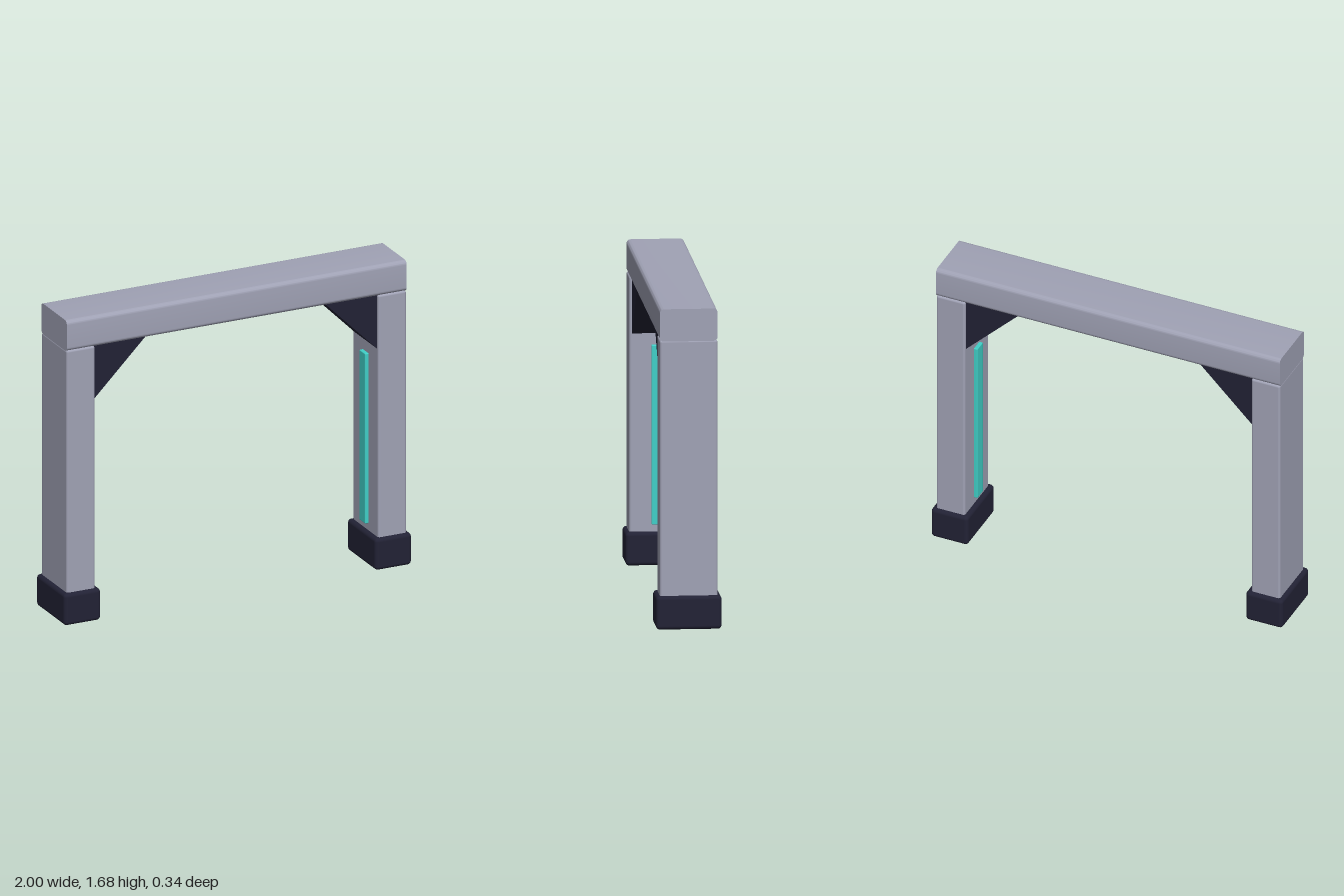
import * as THREE from 'three';
import { toCreasedNormals } from 'three/addons/utils/BufferGeometryUtils.js';
import { RoundedBoxGeometry } from 'three/addons/geometries/RoundedBoxGeometry.js';

const material = (name, color) => {
  const m = new THREE.MeshStandardMaterial({ color });
  m.name = name;
  return m;
};

// Rounded rectangle centred on the origin
function roundedRect(w, h, r) {
  const x = w / 2, y = h / 2;
  const s = new THREE.Shape();
  s.moveTo(-x + r, -y);
  s.lineTo(x - r, -y);
  s.absarc(x - r, -y + r, r, -Math.PI / 2, 0);
  s.lineTo(x, y - r);
  s.absarc(x - r, y - r, r, 0, Math.PI / 2);
  s.lineTo(-x + r, y);
  s.absarc(-x + r, y - r, r, Math.PI / 2, Math.PI);
  s.lineTo(-x, -y + r);
  s.absarc(-x + r, -y + r, r, Math.PI, Math.PI * 1.5);
  return s;
}

// Extrusion centred along its depth, with smooth corners and crisp ends
function prism(shape, depth) {
  const g = new THREE.ExtrudeGeometry(shape, { depth, bevelEnabled: false, curveSegments: 5 });
  g.translate(0, 0, -depth / 2);
  return toCreasedNormals(g, 0.6);
}

export function createModel() {
  const model = new THREE.Group();
  model.name = 'archway';
  const metal = material('grey metal', 0xa0a2b5);
  const dark = material('dark trim', 0x222235);
  const glow = material('teal light', 0x40d0c8);

  const add = (name, geometry, mat, x, y, z = 0) => {
    const mesh = new THREE.Mesh(geometry, mat);
    mesh.name = name;
    mesh.position.set(x, y, z);
    model.add(mesh);
  };

  // Crossbeam with rounded long edges
  add('crossbeam', prism(roundedRect(0.3, 0.17, 0.022), 1.956).rotateY(Math.PI / 2), metal, 0, 1.6, 0);
  add('beamLight', new RoundedBoxGeometry(0.84, 0.03, 0.07, 2, 0.005), glow, 0, 1.508);

  for (const [side, label] of [[1, 'left'], [-1, 'right']]) {
    // Post, standing inside its foot
    add(label + 'Post', new RoundedBoxGeometry(0.163, 1.5, 0.3, 3, 0.012), metal, side * 0.8965, 0.77);
    add(label + 'Foot', new RoundedBoxGeometry(0.21, 0.176, 0.34, 3, 0.02), dark, side * 0.895, 0.088);
    add(label + 'PostLight', new RoundedBoxGeometry(0.03, 0.945, 0.07, 2, 0.005), glow, side * 0.81, 0.687);

    // Triangular corner brace
    const brace = new THREE.Shape([
      [0.82, 1.52], [0.515, 1.52], [0.82, 1.215],
    ].map(([x, y]) => new THREE.Vector2(side * x, y)));
    add(label + 'Brace', prism(brace, 0.27), dark, 0, 0);
  }
  return model;
}
